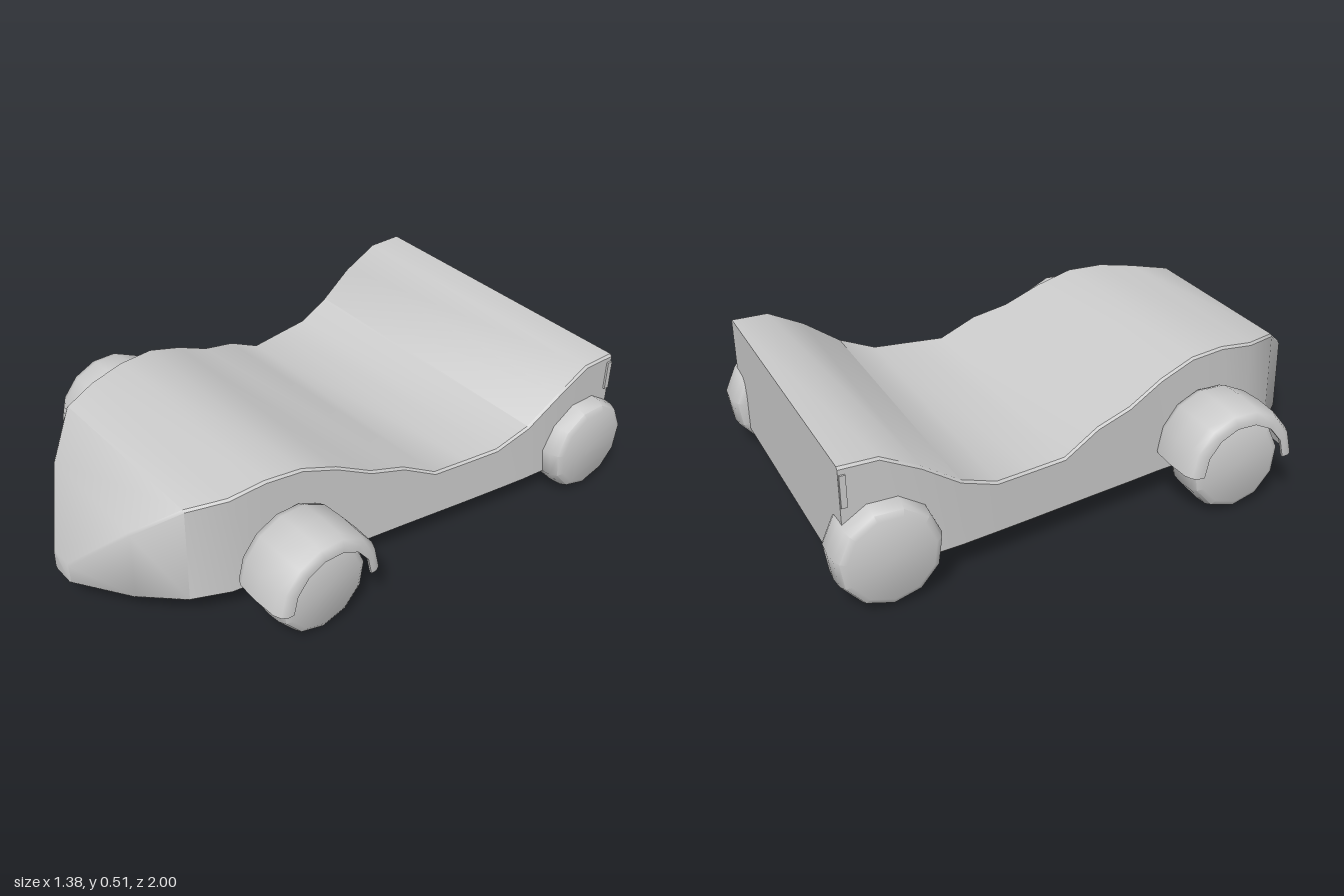
import * as THREE from 'three';
import { toCreasedNormals } from 'three/addons/utils/BufferGeometryUtils.js';

const grey = new THREE.MeshStandardMaterial({ color: 0xcccccc });
const greyThin = new THREE.MeshStandardMaterial({ color: 0xcccccc, side: THREE.DoubleSide });

// Stations from nose to tail: z, half width, top height
const stations = [
  [1, 0.05, 0.18], [0.87, 0.24, 0.37], [0.74, 0.36, 0.475], [0.61, 0.415, 0.49],
  [0.48, 0.433, 0.51], [0.35, 0.45, 0.505], [0.22, 0.465, 0.46], [0.09, 0.485, 0.395],
  [-0.04, 0.503, 0.36], [-0.17, 0.522, 0.29], [-0.3, 0.541, 0.29], [-0.43, 0.559, 0.29],
  [-0.56, 0.576, 0.34], [-0.69, 0.587, 0.43], [-0.82, 0.588, 0.496], [-0.95, 0.588, 0.496],
];

// Loft of vertical-sided sections with a fine bevel along the edges
function bodyGeometry() {
  const floor = 0.1, e = 0.008, n = 8;
  const points = [], index = [];
  for (const [z, w, h] of stations) {
    const half = [[w - e, floor], [w, floor + e], [w, h - e], [w - e, h]];
    const loop = [...half, ...half.map(([x, y]) => [-x, y]).reverse()];
    for (const [x, y] of loop) points.push(x, y, z);
  }
  const last = (stations.length - 1) * n;
  for (let base = 0; base < last; base += n) {
    for (let j = 0; j < n; j++) {
      const a = base + j, b = base + (j + 1) % n;
      index.push(a, a + n, b, b, a + n, b + n);
    }
  }
  for (let j = 1; j < n - 1; j++) {
    index.push(0, j, j + 1, last, last + j + 1, last + j);
  }
  const g = new THREE.BufferGeometry();
  g.setAttribute('position', new THREE.Float32BufferAttribute(points, 3));
  g.setIndex(index);
  return toCreasedNormals(g, 0.7);
}

// Lathe turned about the x axis
function turned(profile, segments, start, sweep, crease) {
  const pts = profile.map(([r, x]) => new THREE.Vector2(r, x));
  const g = new THREE.LatheGeometry(pts, segments, start, sweep);
  g.rotateZ(-Math.PI / 2);
  return toCreasedNormals(g, crease);
}

export function createModel() {
  const model = new THREE.Group();
  const add = (name, geometry, x, y, z, material = grey) => {
    const mesh = new THREE.Mesh(geometry, material);
    mesh.name = name;
    mesh.position.set(x, y, z);
    model.add(mesh);
  };

  add('body', bodyGeometry(), 0, 0, 0);

  // Eleven-sided wheel with softened shoulders
  const wheel = turned([
    [0, -0.087], [0.145, -0.087], [0.165, -0.076], [0.176, -0.05], [0.18, 0],
    [0.176, 0.05], [0.165, 0.076], [0.145, 0.087], [0, 0.087],
  ], 11, Math.PI / 2, Math.PI * 2, 0.75);

  // Half-round fender: a thin shell with lips turned in at both sides
  const fender = turned([
    [0.156, -0.125], [0.178, -0.124], [0.197, -0.112], [0.208, -0.085], [0.212, 0],
    [0.208, 0.085], [0.197, 0.112], [0.178, 0.124], [0.156, 0.125],
    [0.156, 0.115], [0.176, 0.114], [0.189, 0.104], [0.198, 0.08], [0.201, 0],
    [0.198, -0.08], [0.189, -0.104], [0.176, -0.114], [0.156, -0.115], [0.156, -0.125],
  ], 7, Math.PI, Math.PI, 0.75);

  const tailTab = new THREE.BoxGeometry(0.012, 0.11, 0.02);

  for (const [side, s] of [['left', 1], ['right', -1]]) {
    add(side + 'FrontWheel', wheel, s * 0.567, 0.18, 0.415);
    add(side + 'RearWheel', wheel, s * 0.567, 0.18, -0.82);
    add(side + 'Fender', fender, s * 0.567, 0.19, 0.415, greyThin);
    // Small tab at each rear corner
    add(side + 'TailTab', tailTab, s * 0.589, 0.415, -0.938);
  }
  return model;
}
